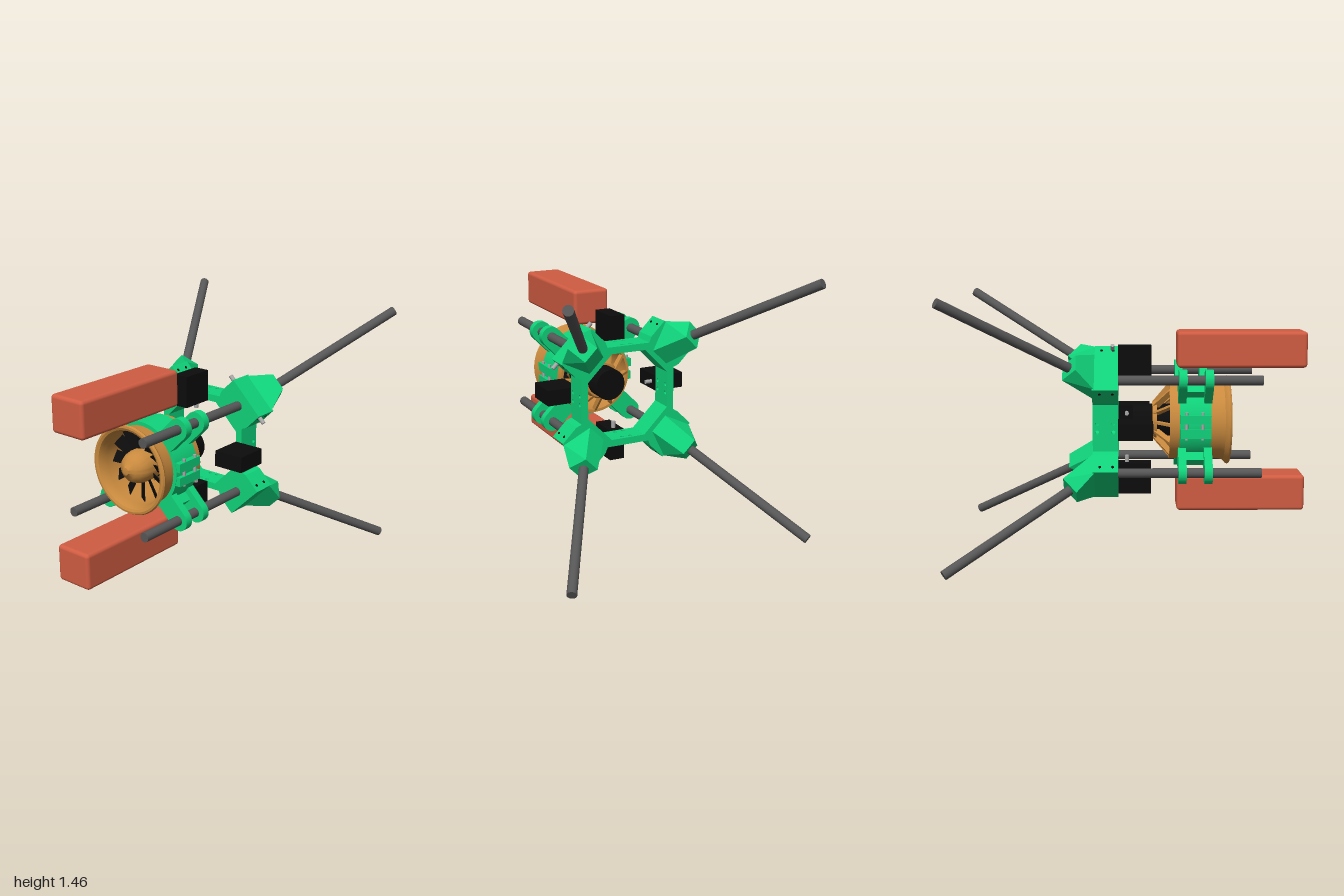
import * as THREE from 'three';
import { toCreasedNormals } from 'three/addons/utils/BufferGeometryUtils.js';
import { RoundedBoxGeometry } from 'three/addons/geometries/RoundedBoxGeometry.js';
import { ConvexGeometry } from 'three/addons/geometries/ConvexGeometry.js';

const mat = (name, color) => {
  const m = new THREE.MeshStandardMaterial({ color });
  m.name = name;
  return m;
};

export function createModel() {
  const green = mat('green plastic', 0x10d27a);
  const amber = mat('amber plastic', 0xc98a3e);
  const black = mat('black', 0x0c0c0c);
  const carbon = mat('carbon grey', 0x565656);
  const red = mat('battery red', 0xd05c42);
  const steel = mat('steel', 0xa8a8a8);

  const model = new THREE.Group();
  const body = new THREE.Group(); // centred on the thrust axis, which runs along z
  body.name = 'body';
  body.position.y = 0.745;
  model.add(body);

  const add = (parent, name, geometry, material, x = 0, y = 0, z = 0) => {
    const m = new THREE.Mesh(geometry, material);
    m.name = name;
    m.position.set(x, y, z);
    parent.add(m);
    return m;
  };
  const spoke = (name, angle) => {
    const g = new THREE.Group(); // local x = radial, local y = tangential
    g.name = name;
    g.rotation.z = angle;
    body.add(g);
    return g;
  };
  const extrude = (shape, depth, curveSegments = 24) =>
    new THREE.ExtrudeGeometry(shape, { depth, bevelEnabled: false, curveSegments });
  const poly = (pts) => new THREE.Shape(pts.map(([x, y]) => new THREE.Vector2(x, y)));
  const hole = (shape, x, y, r) => {
    shape.holes.push(new THREE.Path().absarc(x, y, r, 0, Math.PI * 2, true));
    return shape;
  };
  // Profile of [radius, z] pairs turned about the z axis
  const turn = (pts) => toCreasedNormals(
    new THREE.LatheGeometry(pts.map(([r, z]) => new THREE.Vector2(r, z)), 64).rotateX(Math.PI / 2), 0.6);
  const rod = (a, b, r, seg = 20) => {
    const d = b.clone().sub(a);
    const g = new THREE.CylinderGeometry(r, r, d.length(), seg);
    g.applyQuaternion(new THREE.Quaternion().setFromUnitVectors(new THREE.Vector3(0, 1, 0), d.normalize()));
    const mid = a.clone().add(b).multiplyScalar(0.5);
    return g.translate(mid.x, mid.y, mid.z);
  };
  const V = (x, y, z) => new THREE.Vector3(x, y, z);

  // Fan duct with flared lip; the z axis of the turned profile points forward
  const duct = turn([
    [0.208, 0.22], [0.224, 0.22], [0.224, 0.5], [0.232, 0.53], [0.25, 0.545], [0.256, 0.555],
    [0.25, 0.565], [0.238, 0.567], [0.224, 0.56], [0.215, 0.54], [0.212, 0.5], [0.208, 0.22],
  ]);
  add(body, 'fanDuct', duct, amber).material.side = THREE.DoubleSide;

  // Spinner, motor and stator core
  add(body, 'spinner', turn([
    [0.094, 0.4], [0.094, 0.48], [0.088, 0.51], [0.074, 0.54], [0.052, 0.562], [0.028, 0.574], [0.022, 0.584], [0, 0.588],
  ]), amber);
  add(body, 'motor', turn([[0, 0.015], [0.09, 0.015], [0.093, 0.02], [0.093, 0.4], [0, 0.4]]), black);
  add(body, 'statorCollar', turn([[0.09, 0.125], [0.104, 0.125], [0.116, 0.15], [0.09, 0.15]]), amber);

  // Fan blades with the stator struts behind them
  const blade = extrude(poly([[0.08, -0.028], [0.208, -0.035], [0.208, 0.035], [0.08, 0.028]]), 0.006).rotateX(0.6);
  const strut = extrude(poly([[0.09, -0.125], [0.104, -0.125], [0.222, -0.225], [0.222, -0.245], [0.2, -0.245], [0.09, -0.16]]), 0.014)
    .translate(0, 0, -0.007).rotateX(-Math.PI / 2);
  for (let i = 0; i < 12; i++) {
    const g = spoke('fanSector', (i * Math.PI) / 6);
    add(g, 'fanBlade', blade, black, 0, 0, 0.44);
    add(g, 'statorStrut', strut, amber);
  }

  // Clamp band around the duct
  add(body, 'clampBand', turn([[0.222, 0.275], [0.246, 0.275], [0.246, 0.45], [0.222, 0.45], [0.222, 0.275]]), green);

  // Shared corner shapes in radial and tangential coordinates
  const side = [[0.25, 0.1035], [0.278, 0.132], [0.297, 0.113], [0.329, 0.127], [0.446, 0.127]];
  const block = poly([...side.map(([r, t]) => [r, -t]), ...side.slice().reverse()]);
  const blockGeo = extrude(block, 0.14);
  const lug = new THREE.Shape();
  lug.moveTo(0.235, -0.06);
  lug.lineTo(0.368, -0.06);
  lug.absarc(0.368, 0, 0.06, -Math.PI / 2, Math.PI / 2, false);
  lug.lineTo(0.235, 0.06);
  hole(lug, 0.368, 0, 0.027);
  const lugGeo = extrude(lug, 0.045);

  // Tapered leg socket: block face at the rear, square end across the leg
  const socketPts = [];
  for (const s of [-1, 1]) {
    socketPts.push(V(0.27, s * 0.06, -0.2), V(0.446, s * 0.12, -0.2),
      V(0.526, s * 0.05, -0.297), V(0.434, s * 0.05, -0.373));
  }
  const socketGeo = new ConvexGeometry(socketPts);

  // Four corners: frame block, leg, rail and clamp lugs
  for (let i = 0; i < 4; i++) {
    const g = spoke('corner', Math.PI / 4 + (i * Math.PI) / 2);
    add(g, 'frameCorner', blockGeo, green, 0, 0, -0.21);
    add(g, 'legSocket', socketGeo, green);
    add(g, 'leg', rod(V(0.44, 0, -0.287), V(1.0, 0, -0.98), 0.027), carbon);
    add(g, 'rail', rod(V(0.368, 0, -0.2), V(0.368, 0, 0.73), 0.027), carbon);
    for (const z of [0.265, 0.41]) add(g, 'clampLug', lugGeo, green, 0, 0, z);
    add(g, 'clampWeb', new THREE.BoxGeometry(0.07, 0.05, 0.12), green, 0.262, 0, 0.36);
    for (const s of [-1, 1]) {
      for (const z of [-0.1, -0.17]) {
        add(g, 'blockScrew', rod(V(0.41, s * 0.12, z), V(0.41, s * 0.129, z), 0.008, 10), black);
      }
      // Long clamping screws on the upper left corner
      if (i === 0) add(g, 'longScrew', rod(V(0.42, s * 0.12, -0.105), V(0.42, s * 0.165, -0.105), 0.012, 12), steel);
    }
  }

  // Four sides: link plate and vane servo
  const plate = poly([[-0.07, -0.1045], [0.07, -0.1045], [0.07, 0.1045], [-0.07, 0.1045]]);
  for (const u of [-0.045, 0.045]) for (const v of [-0.025, 0.025]) hole(plate, u, v, 0.011);
  const plateGeo = extrude(plate, 0.04, 8).rotateY(Math.PI / 2);
  for (let i = 0; i < 4; i++) {
    const g = spoke('frameSide', (i * Math.PI) / 2);
    add(g, 'linkPlate', plateGeo, green, 0.25, 0, -0.14);
    add(g, 'servo', new THREE.BoxGeometry(0.18, 0.09, 0.19), black, 0.34, 0, 0.025);
    add(g, 'servoShaft', rod(V(0.21, 0, -0.02), V(0.25, 0, -0.02), 0.012, 12), steel);
  }

  // Clamp ears with bolts on both sides
  for (const s of [-1, 1]) {
    for (const y of [-0.04, 0.04]) {
      add(body, 'clampEar', new THREE.BoxGeometry(0.035, 0.05, 0.17), green, s * 0.252, y, 0.3625);
    }
    for (const z of [0.31, 0.4]) {
      add(body, 'clampBolt', rod(V(s * 0.258, -0.075, z), V(s * 0.258, 0.08, z), 0.009, 10), steel);
    }
  }

  // Battery packs above and below the duct
  for (const s of [-1, 1]) {
    add(body, 'battery', new RoundedBoxGeometry(0.22, 0.205, 0.735, 4, 0.02), red, 0, s * 0.413, 0.6325);
  }

  return model;
}
